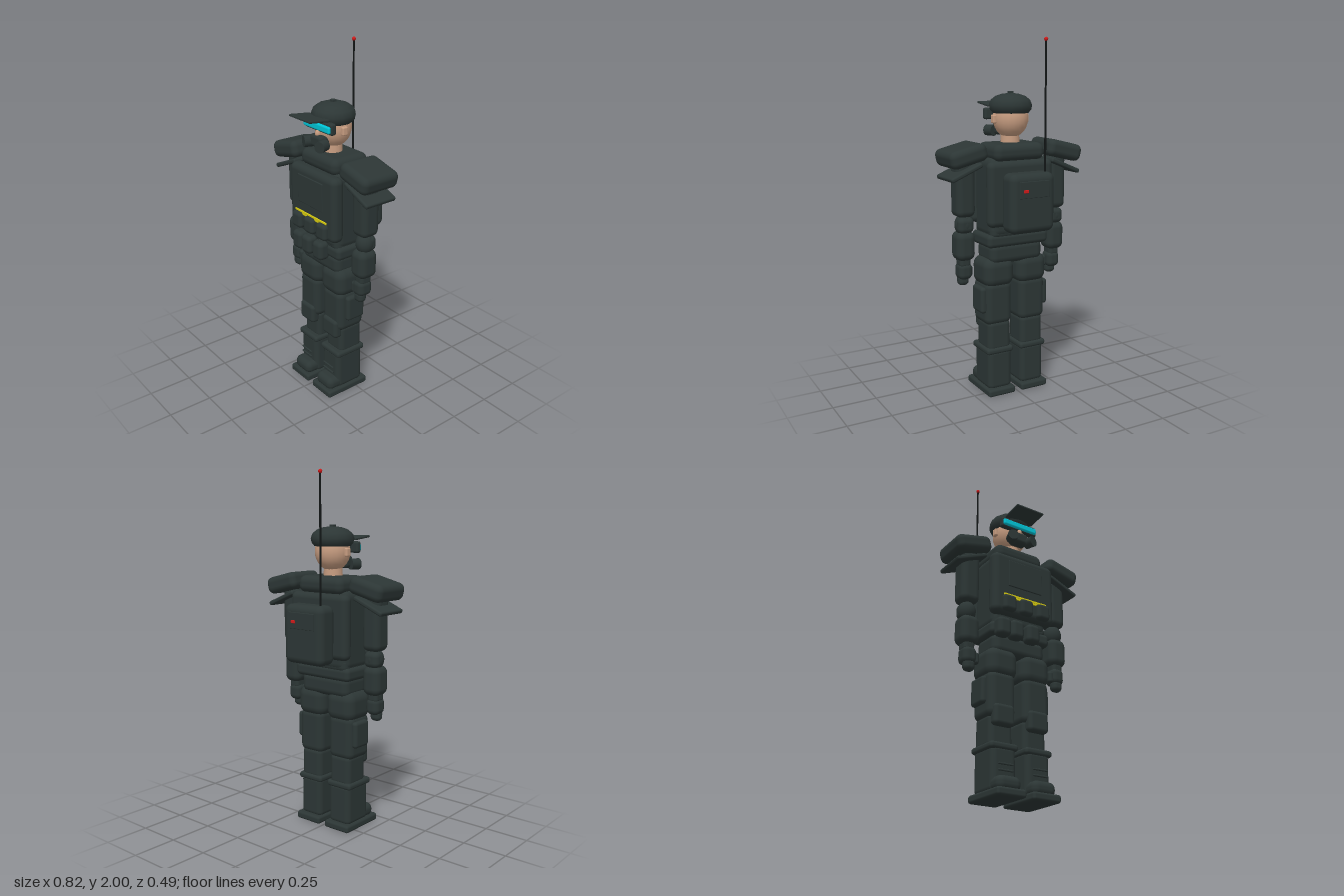
import * as THREE from 'three';
import { RoundedBoxGeometry } from 'three/addons/geometries/RoundedBoxGeometry.js';

const mat = (name, color) => {
  const m = new THREE.MeshStandardMaterial({ color });
  m.name = name;
  return m;
};

export function createModel() {
  const model = new THREE.Group();
  model.name = 'soldier';

  const dark = mat('dark gear', 0x2c3635);
  const black = mat('black', 0x121616);
  const skin = mat('skin', 0xc69c80);
  const cyan = mat('cyan lens', 0x00c4d6);
  const yellow = mat('yellow', 0xd8cc10);
  const red = mat('red', 0xd01a1a);

  const add = (name, geo, material, x, y, z, parent = model) => {
    const m = new THREE.Mesh(geo, material);
    m.name = name;
    m.position.set(x, y, z);
    parent.add(m);
    return m;
  };
  // Rounded box given by its extents: [x0, x1, y0, y1, z0, z1]
  const block = (name, [x0, x1, y0, y1, z0, z1], r, material = dark, parent = model) => {
    const w = x1 - x0, h = y1 - y0, d = z1 - z0;
    const geo = new RoundedBoxGeometry(w, h, d, 3, Math.min(r, Math.min(w, h, d) * 0.49));
    return add(name, geo, material, (x0 + x1) / 2, (y0 + y1) / 2, (z0 + z1) / 2, parent);
  };
  const ball = (name, rx, ry, rz, material, x, y, z, parent) => {
    const m = add(name, new THREE.SphereGeometry(1, 20, 14), material, x, y, z, parent);
    m.scale.set(rx, ry, rz);
    return m;
  };

  // Torso, hips and belt
  block('torso', [-0.175, 0.175, 0.92, 1.37, -0.08, 0.14], 0.05);
  block('frontVest', [-0.2, 0.2, 0.985, 1.355, 0.1, 0.18], 0.035);
  block('backVest', [-0.2, 0.2, 0.99, 1.35, -0.11, -0.04], 0.035);
  block('collar', [-0.155, 0.155, 1.345, 1.44, -0.1, 0.14], 0.04);
  block('abdomen', [-0.17, 0.17, 0.92, 1.0, -0.075, 0.135], 0.03);
  block('belt', [-0.19, 0.19, 0.87, 0.945, -0.075, 0.14], 0.025);
  block('pelvis', [-0.165, 0.165, 0.77, 0.89, -0.06, 0.13], 0.04);
  block('chestPanel', [-0.11, 0.11, 1.15, 1.31, 0.175, 0.186], 0.004);
  block('yellowStrip', [-0.14, 0.14, 1.088, 1.1, 0.176, 0.185], 0.002, yellow);
  for (const x of [-0.055, 0.055])
    block('yellowTab', [x - 0.025, x + 0.025, 1.076, 1.092, 0.176, 0.184], 0.002, yellow);
  for (const x of [-0.11, 0, 0.11])
    block('vestPouch', [x - 0.042, x + 0.042, 0.995, 1.088, 0.16, 0.208], 0.022);
  for (const x of [-0.133, -0.05, 0.053])
    block('beltPouch', [x - 0.041, x + 0.041, 0.85, 0.957, 0.12, 0.192], 0.025);

  // Backpack with panel, light and aerial
  block('backpack', [-0.137, 0.137, 0.97, 1.295, -0.236, -0.108], 0.04);
  block('backpackPanel', [-0.09, 0.09, 1.165, 1.255, -0.242, -0.23], 0.003);
  block('statusLight', [0.04, 0.068, 1.195, 1.212, -0.247, -0.238], 0.003, red);
  add('aerial', new THREE.CylinderGeometry(0.005, 0.006, 0.72, 8), black, -0.094, 1.63, -0.188);
  add('aerialTip', new THREE.SphereGeometry(0.011, 10, 8), red, -0.094, 1.989, -0.188);

  // Head
  add('neck', new THREE.CylinderGeometry(0.05, 0.055, 0.1, 16), skin, 0, 1.46, 0.03);
  ball('head', 0.098, 0.108, 0.1, skin, 0, 1.57, 0.025);
  ball('nose', 0.015, 0.022, 0.018, skin, 0, 1.55, 0.125);
  for (const s of [-1, 1])
    block('ear', [s * 0.1 - 0.012, s * 0.1 + 0.012, 1.545, 1.592, 0.012, 0.047], 0.008, skin);

  // Cap: low dome rounded in at the hem, with a button and a stiff peak
  const profile = [[0, 1.597], [0.1, 1.6], [0.115, 1.618], [0.12, 1.643],
    [0.109, 1.67], [0.082, 1.691], [0.045, 1.703], [0, 1.706]];
  add('cap', new THREE.LatheGeometry(profile.map(([x, y]) => new THREE.Vector2(x, y)), 14),
    dark, 0, 0, 0.024);
  block('capButton', [-0.013, 0.013, 1.698, 1.717, 0.012, 0.038], 0.003);
  const peak = block('capPeak', [-0.091, 0.091, 1.637, 1.649, 0.115, 0.245], 0.004);
  peak.rotation.x = -0.11;

  // Goggles
  block('goggleFrame', [-0.119, 0.119, 1.562, 1.625, 0.095, 0.13], 0.012);
  block('goggleLens', [-0.112, 0.112, 1.572, 1.61, 0.118, 0.143], 0.01, cyan);

  // Breathing mask with two filters
  block('mask', [-0.05, 0.05, 1.475, 1.545, 0.08, 0.15], 0.02);
  for (const s of [-1, 1]) {
    const f = add('maskFilter', new THREE.CylinderGeometry(0.031, 0.031, 0.055, 16),
      dark, s * 0.06, 1.498, 0.145);
    f.rotation.set(Math.PI / 2, 0, -s * 0.35);
  }

  // Limbs, one pass for each side
  for (const s of [-1, 1]) {
    const side = s > 0 ? 'left' : 'right';
    const arm = new THREE.Group();
    const leg = new THREE.Group();
    arm.name = side + 'Arm';
    leg.name = side + 'Leg';
    model.add(arm, leg);
    // Extents are given outward from the middle and mirrored
    const part = (g, name, [a, b, ...rest], r) =>
      block(name, s > 0 ? [a, b, ...rest] : [-b, -a, ...rest], r, dark, g);

    // Shoulder armour
    part(arm, 'shoulderPad', [0.19, 0.41, 1.337, 1.433, -0.09, 0.15], 0.035).rotation.z = -s * 0.24;
    part(arm, 'shoulderFlap', [0.21, 0.41, 1.285, 1.31, -0.07, 0.13], 0.01).rotation.z = -s * 0.4;

    // Arm and hand
    part(arm, 'upperArm', [0.233, 0.345, 1.045, 1.36, -0.02, 0.095], 0.035);
    ball('elbow', 0.05, 0.06, 0.052, dark, s * 0.288, 1.0, 0.038, arm);
    part(arm, 'forearm', [0.232, 0.343, 0.8, 0.965, -0.016, 0.103], 0.04);
    part(arm, 'elbowPad', [0.24, 0.335, 0.955, 1.045, -0.012, 0.05], 0.03);
    part(arm, 'wrist', [0.255, 0.32, 0.76, 0.82, 0.01, 0.085], 0.02);
    part(arm, 'palm', [0.245, 0.325, 0.69, 0.785, 0.005, 0.095], 0.03);
    part(arm, 'fingers', [0.252, 0.316, 0.65, 0.715, 0.035, 0.09], 0.025);
    part(arm, 'thumb', [0.228, 0.26, 0.695, 0.76, 0.045, 0.085], 0.014);

    // Leg
    part(leg, 'upperThigh', [0.01, 0.198, 0.635, 0.805, -0.062, 0.14], 0.055);
    part(leg, 'lowerThigh', [0.025, 0.19, 0.415, 0.67, -0.05, 0.132], 0.04);
    part(leg, 'thighPouch', [0.175, 0.215, 0.49, 0.64, -0.03, 0.09], 0.018);
    part(leg, 'kneePad', [0.045, 0.17, 0.37, 0.485, 0.09, 0.147], 0.022);
    part(leg, 'calf', [0.034, 0.176, 0.26, 0.44, -0.045, 0.11], 0.03);

    // Boot with laces
    part(leg, 'bootCuff', [0.022, 0.19, 0.246, 0.283, -0.055, 0.142], 0.016);
    part(leg, 'bootShaft', [0.03, 0.178, 0.03, 0.27, -0.05, 0.135], 0.03);
    part(leg, 'bootToe', [0.034, 0.176, 0.03, 0.108, 0.08, 0.193], 0.035);
    part(leg, 'bootSole', [0.02, 0.191, 0, 0.043, -0.075, 0.207], 0.014);
    for (const y of [0.138, 0.17])
      part(leg, 'bootLace', [0.06, 0.15, y - 0.005, y + 0.005, 0.142, 0.152], 0.004);
  }

  return model;
}
